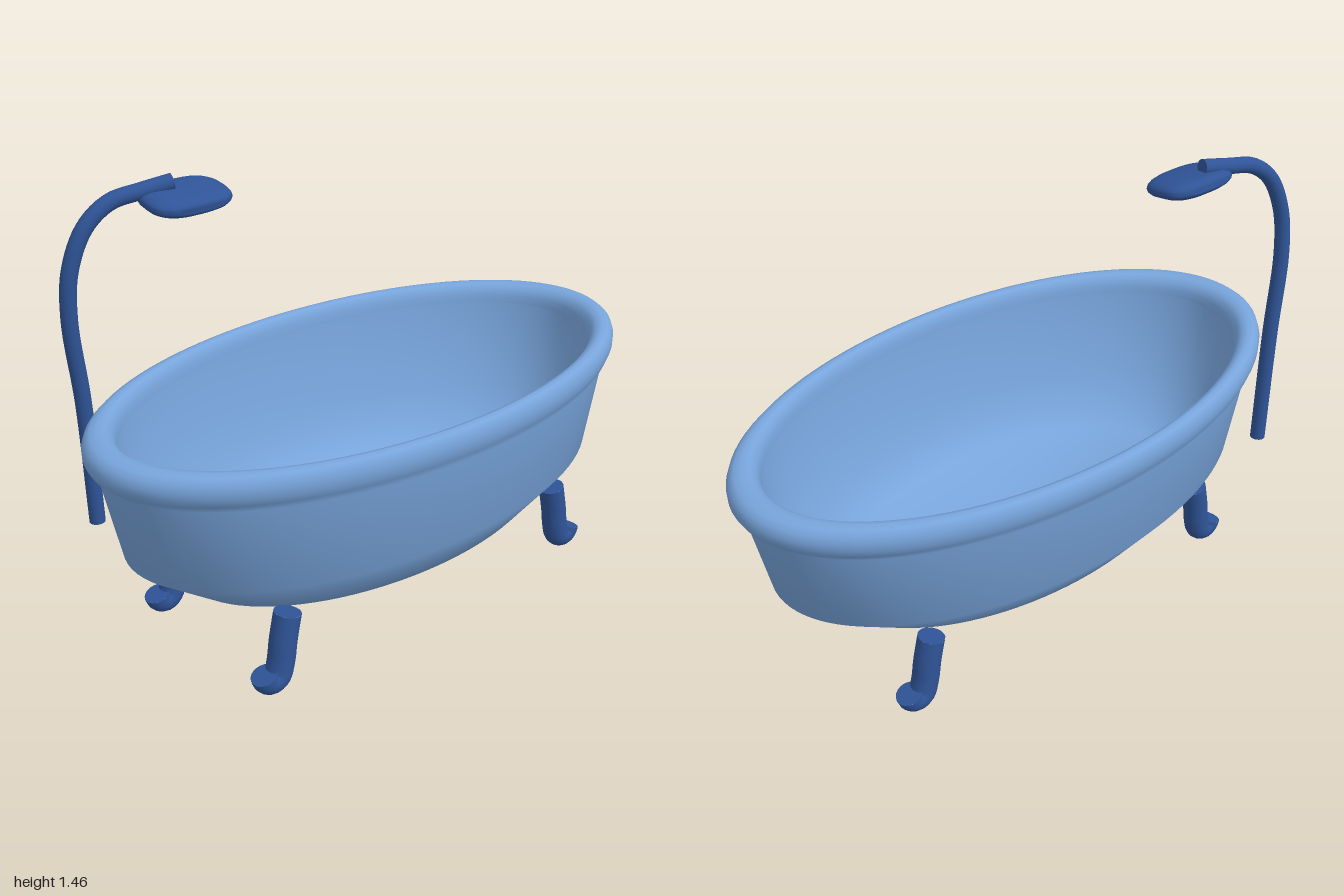
import * as THREE from 'three';
import { toCreasedNormals } from 'three/addons/utils/BufferGeometryUtils.js';

const enamel = new THREE.MeshStandardMaterial({ name: 'light blue enamel', color: 0x78a5dc });
const metal = new THREE.MeshStandardMaterial({ name: 'dark blue metal', color: 0x2f5497 });

const toVector2 = ([r, y]) => new THREE.Vector2(r, y);
const toVector3 = (p) => new THREE.Vector3(...p);

// Round tube along a smooth path, closed with a disc at each end
function cappedTube(name, points, radius, segments) {
  const group = new THREE.Group();
  group.name = name;
  const curve = new THREE.CatmullRomCurve3(points.map(toVector3));
  const tube = new THREE.Mesh(new THREE.TubeGeometry(curve, segments, radius, 20), metal);
  tube.name = name + 'Tube';
  group.add(tube);
  for (const t of [0, 1]) {
    const cap = new THREE.Mesh(new THREE.CircleGeometry(radius, 20), metal);
    const outward = curve.getTangentAt(t).multiplyScalar(t === 0 ? -1 : 1);
    cap.quaternion.setFromUnitVectors(new THREE.Vector3(0, 0, 1), outward);
    cap.position.copy(curve.getPointAt(t));
    cap.name = name + 'Cap';
    group.add(cap);
  }
  return group;
}

// Turned shell flattened to the oval plan of the tub
function ovalShell(name, profile) {
  const geometry = new THREE.LatheGeometry(profile.map(toVector2), 96);
  geometry.scale(1, 1, 0.538);
  const shell = new THREE.Mesh(geometry, enamel);
  shell.name = name;
  return shell;
}

// Pillow-shaped shower head: a turned disc squared off in plan
function makeShowerHead() {
  const profile = [
    [0, -0.028], [0.6, -0.027], [0.8, -0.024], [0.92, -0.016], [0.98, -0.008], [1, 0],
    [0.98, 0.008], [0.92, 0.016], [0.8, 0.024], [0.6, 0.027], [0, 0.028],
  ].map(toVector2);
  const geometry = new THREE.LatheGeometry(profile, 48);
  const pos = geometry.attributes.position;
  const power = 2.9;
  for (let i = 0; i < pos.count; i++) {
    const x = pos.getX(i), z = pos.getZ(i), r = Math.hypot(x, z);
    if (r < 1e-6) continue;
    const k = Math.pow(Math.abs(x / r) ** power + Math.abs(z / r) ** power, -1 / power);
    pos.setX(i, x * k * 0.138);
    pos.setZ(i, z * k * 0.093);
  }
  const head = new THREE.Mesh(toCreasedNormals(geometry, 0.9), metal);
  head.name = 'showerHead';
  head.position.set(-0.52, 1.398, -0.21);
  head.rotation.x = 0.17;
  return head;
}

export function createModel() {
  const model = new THREE.Group();
  model.name = 'bathtub';

  // Outer wall with rolled rim, then the inner bowl meeting it at a crease
  model.add(ovalShell('outerWallAndRim', [
    [0, 0.202], [0.53, 0.203], [0.7, 0.24], [0.898, 0.387], [0.96, 0.68],
    [0.985, 0.705], [0.998, 0.73], [0.999, 0.755], [0.99, 0.777], [0.972, 0.791],
    [0.945, 0.796], [0.92, 0.792], [0.902, 0.778], [0.891, 0.757], [0.888, 0.73],
  ]));
  model.add(ovalShell('innerBowl', [
    [0.888, 0.73], [0.83, 0.42], [0.645, 0.275], [0, 0.235],
  ]));

  // Four curled feet
  for (const sx of [1, -1]) {
    for (const sz of [1, -1]) {
      const path = [
        [0.573, 0.258], [0.592, 0.17], [0.603, 0.1], [0.618, 0.056], [0.642, 0.046], [0.66, 0.058], [0.666, 0.075],
      ].map(([x, y]) => [sx * x, y, sz * 0.287]);
      const end = sz > 0 ? 'front' : 'back';
      model.add(cappedTube(end + (sx > 0 ? 'LeftFoot' : 'RightFoot'), path, 0.043, 32));
    }
  }

  // Shower pipe rising outside the rim and bending over the basin
  model.add(cappedTube('showerPipe', [
    [-0.825, 0.385, -0.342], [-0.84, 0.8, -0.332], [-0.866, 1.08, -0.32], [-0.856, 1.23, -0.306],
    [-0.805, 1.35, -0.29], [-0.73, 1.41, -0.275], [-0.64, 1.428, -0.255], [-0.547, 1.443, -0.232],
  ], 0.025, 64));
  model.add(makeShowerHead());
  return model;
}
